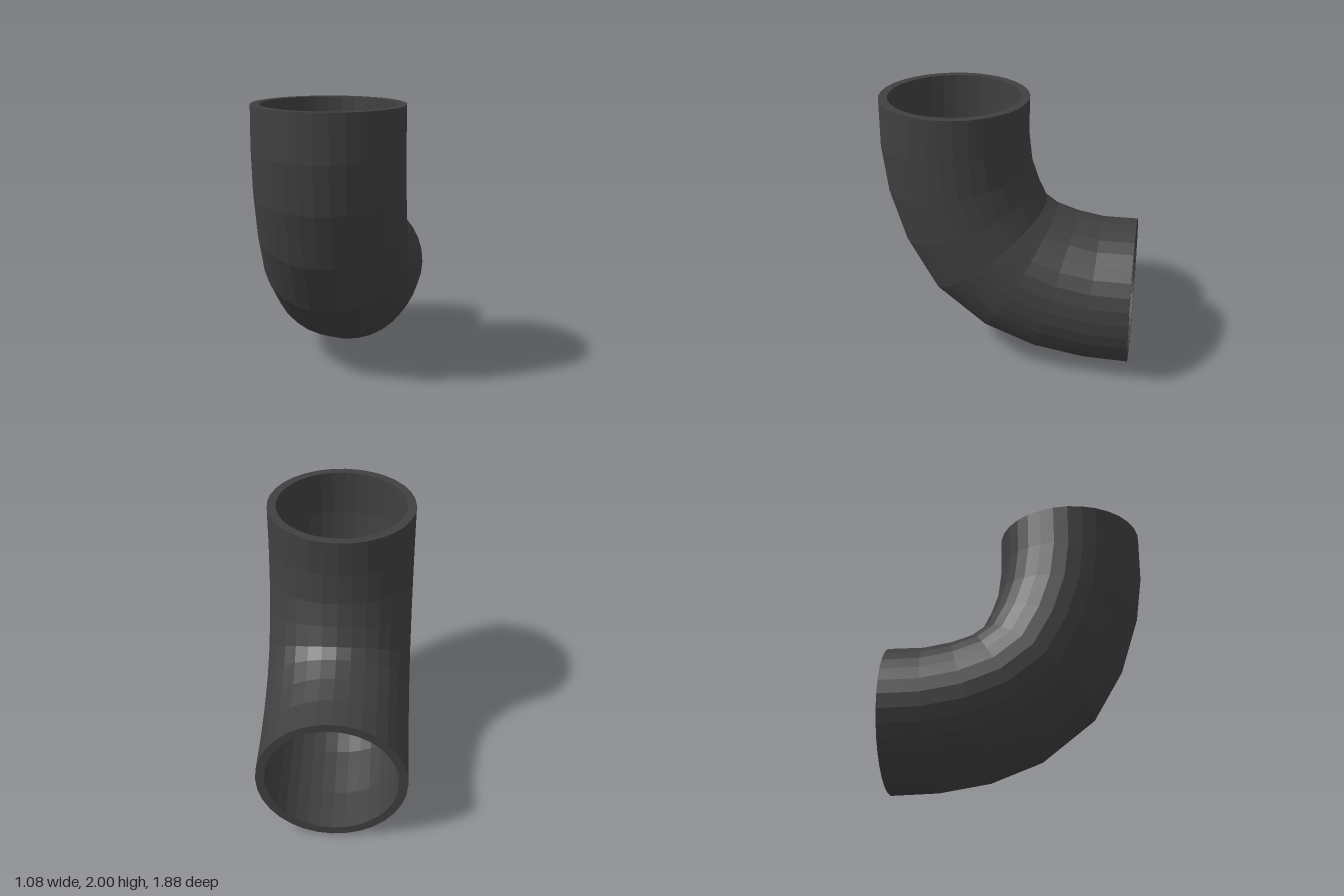
import * as THREE from 'three';

const SIDES = 32;
const RADIUS = 0.54;
const BORE = 0.476;

// Each section: [outer bend z, y, inner bend z, y], from the upright mouth to the rear mouth
const SECTIONS = [
  [0.94, 2.0, -0.14, 2.0],
  [0.94, 1.66, -0.135, 1.73],
  [0.895, 1.31, -0.16, 1.51],
  [0.775, 0.92, -0.215, 1.35],
  [0.56, 0.54, -0.275, 1.22],
  [0.18, 0.23, -0.35, 1.165],
  [-0.21, 0.075, -0.5, 1.115],
  [-0.6, 0.01, -0.69, 1.08],
  [-0.94, 0.0, -0.94, 1.08],
];

// Circle of points across one section of the bend
function ring([z0, y0, z1, y1], radius) {
  const scale = radius / RADIUS;
  const cz = (z0 + z1) / 2, cy = (y0 + y1) / 2;
  const points = [];
  for (let i = 0; i < SIDES; i++) {
    const a = (i / SIDES) * Math.PI * 2;
    const c = Math.cos(a) * scale;
    points.push(Math.sin(a) * radius, cy + (y0 - cy) * c, cz + (z0 - cz) * c);
  }
  return points;
}

// Skin a run of rings with quads
function skin(rings) {
  const index = [];
  for (let r = 0; r < rings.length - 1; r++) {
    for (let i = 0; i < SIDES; i++) {
      const j = (i + 1) % SIDES;
      const a = r * SIDES + i, b = r * SIDES + j;
      const c = a + SIDES, d = b + SIDES;
      index.push(a, c, b, b, c, d);
    }
  }
  const geometry = new THREE.BufferGeometry();
  geometry.setAttribute('position', new THREE.Float32BufferAttribute(rings.flat(), 3));
  geometry.setIndex(index);
  const flat = geometry.toNonIndexed();
  flat.computeVertexNormals();
  return flat;
}

export function createModel() {
  const group = new THREE.Group();
  group.name = 'pipeElbow';
  const material = new THREE.MeshStandardMaterial({ color: 0x404040, flatShading: true });
  const add = (name, rings) => {
    const mesh = new THREE.Mesh(skin(rings), material);
    mesh.name = name;
    group.add(mesh);
  };

  const outer = SECTIONS.map((s) => ring(s, RADIUS));
  const inner = SECTIONS.map((s) => ring(s, BORE));
  const last = SECTIONS.length - 1;

  add('outerWall', outer);
  add('innerWall', [...inner].reverse());
  // Flat rims joining the two walls at each mouth
  add('topRim', [inner[0], outer[0]]);
  add('rearRim', [outer[last], inner[last]]);
  return group;
}
